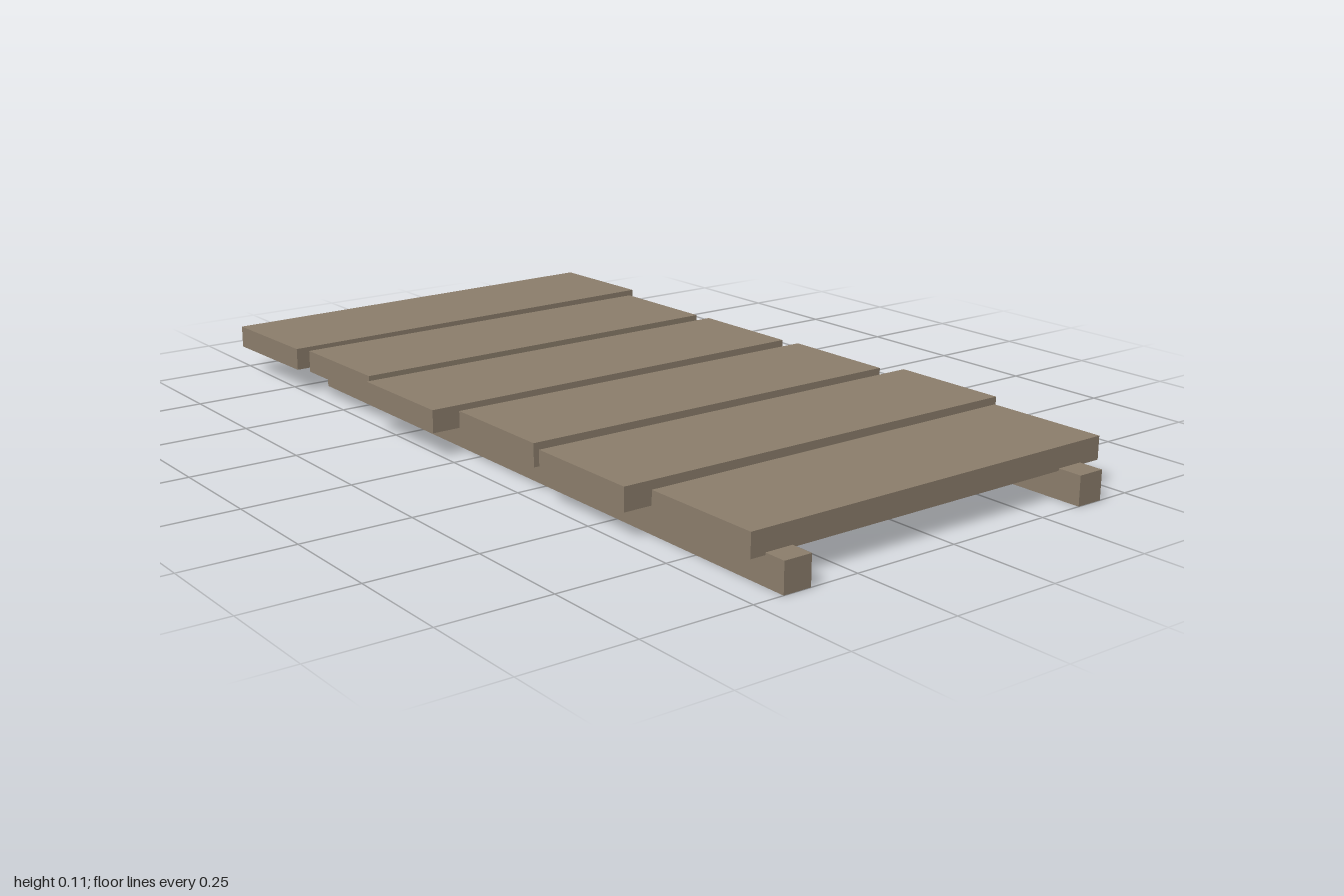
import * as THREE from 'three';

export function createModel() {
  const group = new THREE.Group();
  const wood = new THREE.MeshStandardMaterial({ color: 0x8b7d6b });
  wood.name = 'weathered wood';

  const addBox = (name, [w, h, d], [x, y, z], turn = 0) => {
    const mesh = new THREE.Mesh(new THREE.BoxGeometry(w, h, d), wood);
    mesh.name = name;
    mesh.position.set(x, y, z);
    mesh.rotation.y = turn;
    group.add(mesh);
  };

  // Two long bearers, stopping short of the rearmost plank
  addBox('leftBearer', [0.065, 0.066, 1.708], [0.39, 0.033, 0.146]);
  addBox('rightBearer', [0.065, 0.066, 1.708], [-0.397, 0.033, 0.146]);

  // Uneven planks, back to front: length, x, z, turn
  const planks = [
    [1.034, -0.008, -0.843, 0.027],
    [0.972, -0.017, -0.515, 0.014],
    [1.004, -0.025, -0.187, 0.007],
    [0.97, 0.002, 0.143, 0],
    [1.022, 0.013, 0.472, 0.001],
    [0.943, 0.006, 0.802, 0.007],
  ];
  planks.forEach(([length, x, z, turn], i) =>
    addBox(`plank${i + 1}`, [length, 0.052, 0.287], [x, 0.087, z], turn));

  return group;
}
